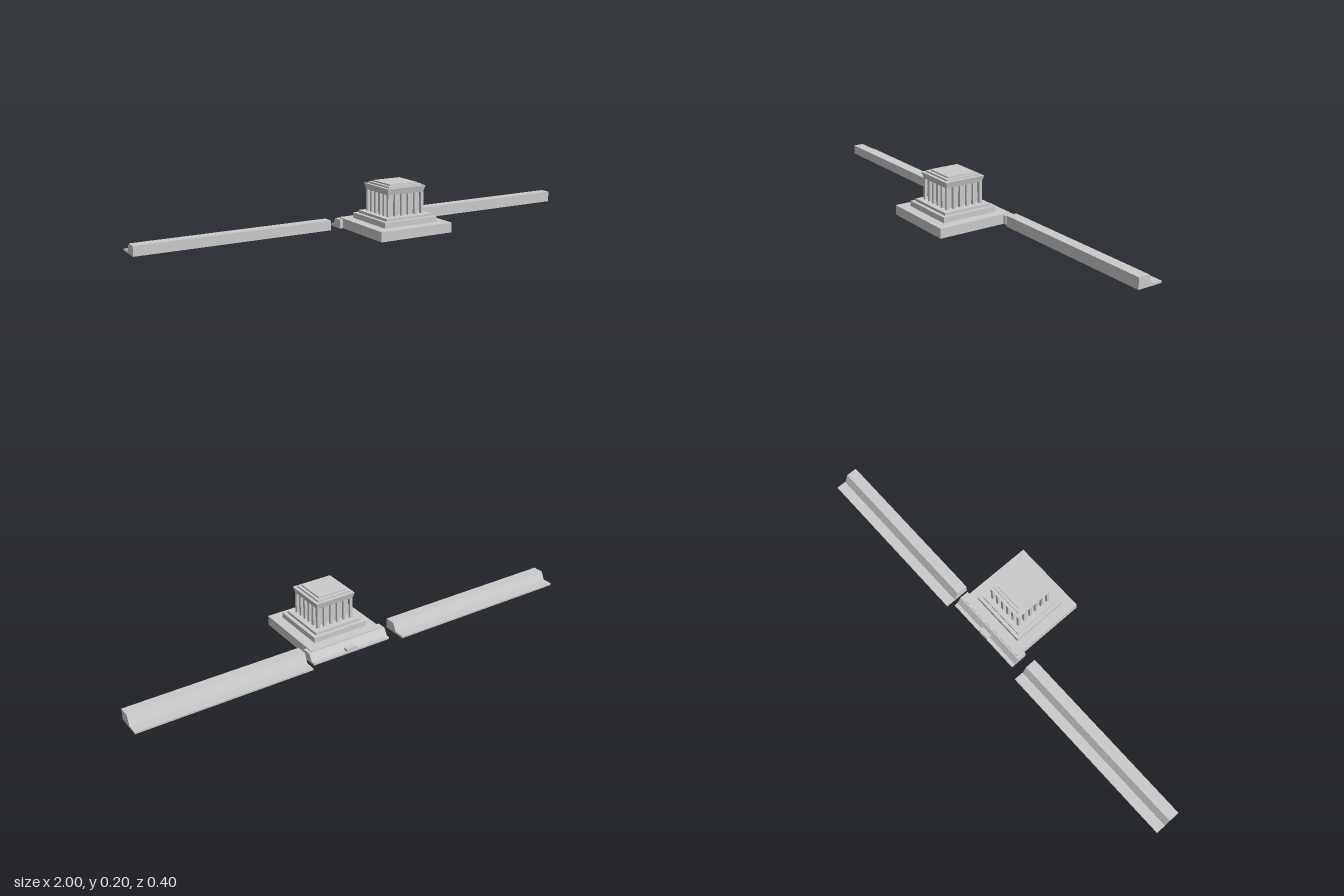
import * as THREE from 'three';

const mat = new THREE.MeshStandardMaterial({ color: 0xcccccc, flatShading: true });
const CX = 0.059, CZ = 0.033; // centre of the monument

function add(parent, name, geometry, x = 0, y = 0, z = 0) {
  const mesh = new THREE.Mesh(geometry, mat);
  mesh.name = name;
  mesh.position.set(x, y, z);
  parent.add(mesh);
  return mesh;
}

// square slab between two heights, optionally flared to a wider top
function slab(parent, name, half, y0, y1, topHalf = half) {
  const g = new THREE.BoxGeometry(2 * half, y1 - y0, 2 * half);
  const p = g.attributes.position;
  for (let i = 0; i < p.count; i++) {
    if (p.getY(i) > 0) {
      p.setX(i, Math.sign(p.getX(i)) * topHalf);
      p.setZ(i, Math.sign(p.getZ(i)) * topHalf);
    }
  }
  g.computeVertexNormals();
  return add(parent, name, g, 0, (y0 + y1) / 2, 0);
}

// a [z, y] profile swept along x from x0 to x1
function sweep(parent, name, profile, x0, x1) {
  const shape = new THREE.Shape(profile.map(([z, y]) => new THREE.Vector2(-z, y)));
  const g = new THREE.ExtrudeGeometry(shape, { depth: x1 - x0, bevelEnabled: false });
  g.rotateY(Math.PI / 2);
  return add(parent, name, g, x0, 0, 0);
}

const bankProfile = (height) => [
  [-0.091, 0], [-0.2, 0], [-0.2, 0.008], [-0.158, 0.008],
  [-0.157, 0.004], [-0.138, height], [-0.091, height],
];

export function createModel() {
  const model = new THREE.Group();
  model.name = 'hilltopMonument';

  const monument = new THREE.Group();
  monument.name = 'monument';
  monument.position.set(CX, 0, CZ);
  model.add(monument);

  // stepped podium
  slab(monument, 'base', 0.167, 0, 0.041);
  slab(monument, 'lowerStep', 0.1235, 0.041, 0.064);
  slab(monument, 'upperStep', 0.108, 0.064, 0.075);

  // inner hall and the surrounding colonnade, six columns a side
  slab(monument, 'hall', 0.062, 0.075, 0.164);
  const colonnade = new THREE.Group();
  colonnade.name = 'colonnade';
  monument.add(colonnade);
  const columnGeometry = new THREE.BoxGeometry(0.012, 0.089, 0.012);
  const n = 6, spacing = 0.0314;
  for (let i = 0; i < n; i++) {
    for (let j = 0; j < n; j++) {
      if (i > 0 && i < n - 1 && j > 0 && j < n - 1) continue;
      add(colonnade, 'column', columnGeometry,
        (i - (n - 1) / 2) * spacing, 0.1195, (j - (n - 1) / 2) * spacing);
    }
  }

  // flared cornice and stepped roof
  slab(monument, 'cornice', 0.084, 0.164, 0.19, 0.0905);
  slab(monument, 'lowerRoof', 0.077, 0.19, 0.197);
  slab(monument, 'upperRoof', 0.064, 0.197, 0.203);

  // rear terrace with a small entrance block
  sweep(model, 'rearTerrace', [
    [-0.1, 0], [-0.174, 0], [-0.174, 0.008], [-0.158, 0.008],
    [-0.14, 0.037], [-0.1, 0.037],
  ], -0.123, 0.239);
  add(model, 'rearEntrance', new THREE.BoxGeometry(0.05, 0.02, 0.03), CX, 0.01, -0.157);

  // long embankments on both sides
  sweep(model, 'rightEmbankment', bankProfile(0.041), -1, -0.17);
  sweep(model, 'leftEmbankment', bankProfile(0.046), 0.258, 1);

  return model;
}
